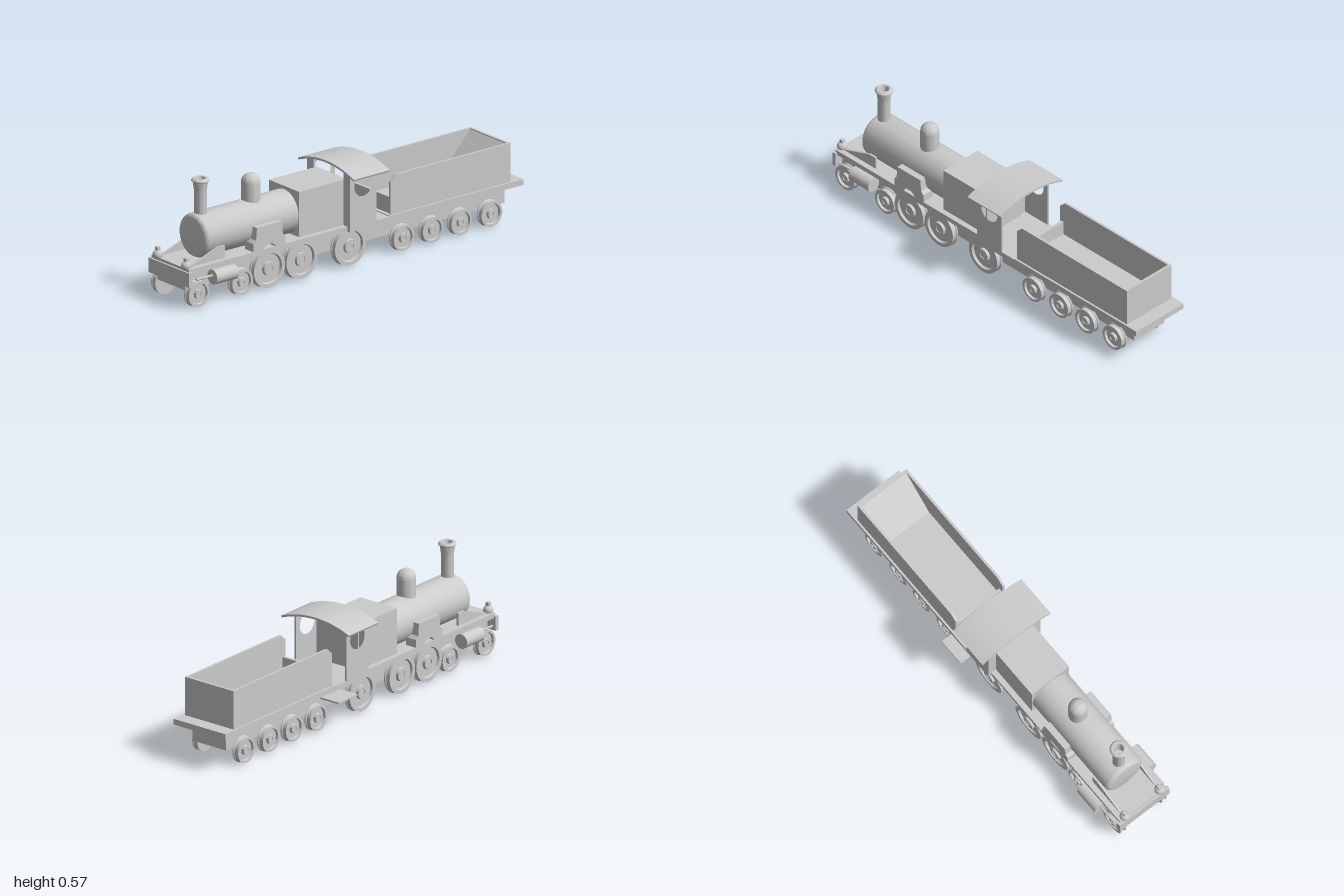
import * as THREE from 'three';
import { toCreasedNormals } from 'three/addons/utils/BufferGeometryUtils.js';

const grey = new THREE.MeshStandardMaterial({ color: 0xcccccc });
const greyDouble = new THREE.MeshStandardMaterial({ color: 0xcccccc, side: THREE.DoubleSide });

export function createModel() {
  const model = new THREE.Group();

  const add = (name, geometry, x = 0, y = 0, z = 0, material = grey) => {
    const mesh = new THREE.Mesh(geometry, material);
    mesh.name = name;
    mesh.position.set(x, y, z);
    model.add(mesh);
    return mesh;
  };
  // box given by its limits on each axis
  const box = (name, x0, x1, y0, y1, z0, z1) =>
    add(name, new THREE.BoxGeometry(x1 - x0, y1 - y0, z1 - z0), (x0 + x1) / 2, (y0 + y1) / 2, (z0 + z1) / 2);
  // turned part from [radius, height] points
  const turned = (points, segments = 40) => toCreasedNormals(
    new THREE.LatheGeometry(points.map(([r, h]) => new THREE.Vector2(r, h)), segments), 0.6);
  // plate with a [z, y] outline, thick along x
  const plate = (name, outline, x0, x1, hole) => {
    const shape = new THREE.Shape(outline.map(([z, y]) => new THREE.Vector2(-z, y)));
    if (hole) shape.holes.push(new THREE.Path().absarc(-hole.z, hole.y, hole.r, 0, Math.PI * 2, true));
    const g = new THREE.ExtrudeGeometry(shape, { depth: x1 - x0, bevelEnabled: false, curveSegments: 32 });
    return add(name, g.rotateY(Math.PI / 2), x0, 0, 0);
  };
  // the same plate on both sides
  const plates = (name, outline, x0, x1, hole) => {
    plate(name + 'Left', outline, x0, x1, hole);
    plate(name + 'Right', outline, -x1, -x0, hole);
  };

  // Underframe, running plates and buffer beam
  box('engineFrame', -0.1, 0.1, 0.085, 0.17, -0.2, 0.98);
  box('tenderFrame', -0.1, 0.1, 0.085, 0.17, -0.93, -0.2);
  box('runningPlate', -0.137, 0.137, 0.172, 0.196, 0.04, 0.985);
  box('cabFloor', -0.155, 0.155, 0.172, 0.196, -0.2, 0.04);
  box('tenderPlate', -0.155, 0.155, 0.172, 0.2, -1, -0.2);
  box('bufferBeam', -0.148, 0.148, 0.112, 0.183, 0.975, 0.995);
  box('cabStep', -0.205, -0.1, 0.131, 0.139, -0.24, -0.1);

  // Wheels with a flange, recessed face and hub, joined by axles
  const wheelGeometry = (R) => turned([
    [0, 0], [R, 0], [R, 0.005], [R - 0.005, 0.009], [R - 0.005, 0.026], [R - 0.002, 0.028],
    [R - 0.002, 0.032], [R * 0.78, 0.032], [R * 0.74, 0.02], [R * 0.36, 0.02],
    [R * 0.34, 0.034], [R * 0.18, 0.034], [R * 0.18, 0.03], [0, 0.03],
  ], 40).rotateZ(-Math.PI / 2);
  const wheelSets = [
    ['smallWheel', 0.064, [0.925, 0.665, -0.3, -0.475, -0.645, -0.825]],
    ['drivingWheel', 0.095, [0.505, 0.31, 0.02]],
  ];
  for (const [name, R, positions] of wheelSets) {
    const geometry = wheelGeometry(R);
    const axle = new THREE.CylinderGeometry(0.005, 0.005, 0.22, 12).rotateZ(Math.PI / 2);
    for (const z of positions) {
      add(name + 'Left', geometry, 0.105, R, z);
      add(name + 'Right', geometry, -0.105, R, z).rotation.y = Math.PI;
      add('axle', axle, 0, R, z);
    }
  }

  // Boiler with a rounded front
  const boilerProfile = [[0, 0], [0.106, 0]];
  for (let i = 0; i <= 6; i++) {
    const a = (i / 6) * Math.PI / 2;
    boilerProfile.push([0.082 + 0.024 * Math.cos(a), 0.531 + 0.024 * Math.sin(a)]);
  }
  boilerProfile.push([0, 0.555]);
  add('boiler', turned(boilerProfile, 56).rotateX(Math.PI / 2), 0, 0.296, 0.3);

  // Chimney, open at the top
  add('chimney', turned([
    [0.03, 0.37], [0.03, 0.505], [0.032, 0.525], [0.036, 0.552], [0.043, 0.557],
    [0.043, 0.562], [0.035, 0.57], [0.024, 0.57], [0.02, 0.56], [0.02, 0.5], [0, 0.5],
  ], 32), 0, 0, 0.805);

  // Steam dome
  const domeProfile = [[0.045, 0.36]];
  for (let i = 0; i <= 10; i++) {
    const a = (i / 10) * Math.PI / 2;
    domeProfile.push([0.045 * Math.cos(a), 0.483 + 0.045 * Math.sin(a)]);
  }
  add('steamDome', turned(domeProfile, 32), 0, 0, 0.505);

  // Firebox and splashers
  box('firebox', -0.11, 0.11, 0.19, 0.418, 0.02, 0.305);
  plates('splasher', [
    [0.6, 0.19], [0.6, 0.235], [0.585, 0.25], [0.58, 0.31], [0.43, 0.31], [0.425, 0.25], [0.41, 0.235],
    [0.41, 0.19], [0.465, 0.19], [0.475, 0.207], [0.49, 0.216], [0.52, 0.216], [0.535, 0.207], [0.545, 0.19],
  ], 0.075, 0.137);

  // Sloping stays ahead of the boiler
  plates('frontStay', [[0.985, 0.19], [0.93, 0.207], [0.79, 0.257], [0.75, 0.257], [0.75, 0.19]], 0.1, 0.11);

  // Cylinders, piston rods and lamps
  for (const s of [1, -1]) {
    add('steamCylinder', new THREE.CylinderGeometry(0.036, 0.036, 0.13, 32).rotateX(Math.PI / 2), s * 0.147, 0.135, 0.79);
    add('pistonRod', new THREE.CylinderGeometry(0.006, 0.006, 0.1, 12).rotateX(Math.PI / 2), s * 0.147, 0.143, 0.9);
    add('lamp', new THREE.SphereGeometry(0.024, 24, 16), s * 0.103, 0.205, 0.976);
    box('lampCap', s * 0.103 - 0.009, s * 0.103 + 0.009, 0.222, 0.244, 0.967, 0.985);
  }

  // Cab sides with round windows, and front strips
  plates('cabSide', [[0.04, 0.172], [0.04, 0.456], [-0.12, 0.456], [-0.12, 0.172]], 0.145, 0.155,
    { z: -0.04, y: 0.387, r: 0.053 });
  plates('cabFront', [[0.04, 0.172], [0.04, 0.46], [0.028, 0.46], [0.028, 0.172]], 0.108, 0.146);

  // Arched cab roof
  const roof = new THREE.Shape();
  const half = 0.392;
  roof.absarc(0, -0.042, 0.53, Math.PI / 2 - half, Math.PI / 2 + half, false);
  roof.absarc(0, -0.042, 0.52, Math.PI / 2 + half, Math.PI / 2 - half, true);
  add('cabRoof', new THREE.ExtrudeGeometry(roof, { depth: 0.215, bevelEnabled: false, curveSegments: 8 }), 0, -0.002, -0.16);

  // Open tender body with a sloping rear floor
  plates('tenderSide', [[-0.212, 0.2], [-0.212, 0.36], [-0.245, 0.39], [-0.93, 0.39], [-0.93, 0.2]], 0.133, 0.145);
  box('tenderBack', -0.133, 0.133, 0.2, 0.39, -0.93, -0.917);
  box('tenderFront', -0.133, 0.133, 0.2, 0.28, -0.235, -0.22);
  box('tenderFloor', -0.133, 0.133, 0.2, 0.21, -0.917, -0.235);
  plate('coalSlope', [[-0.917, 0.21], [-0.917, 0.385], [-0.75, 0.21]], -0.133, 0.133);

  return model;
}
